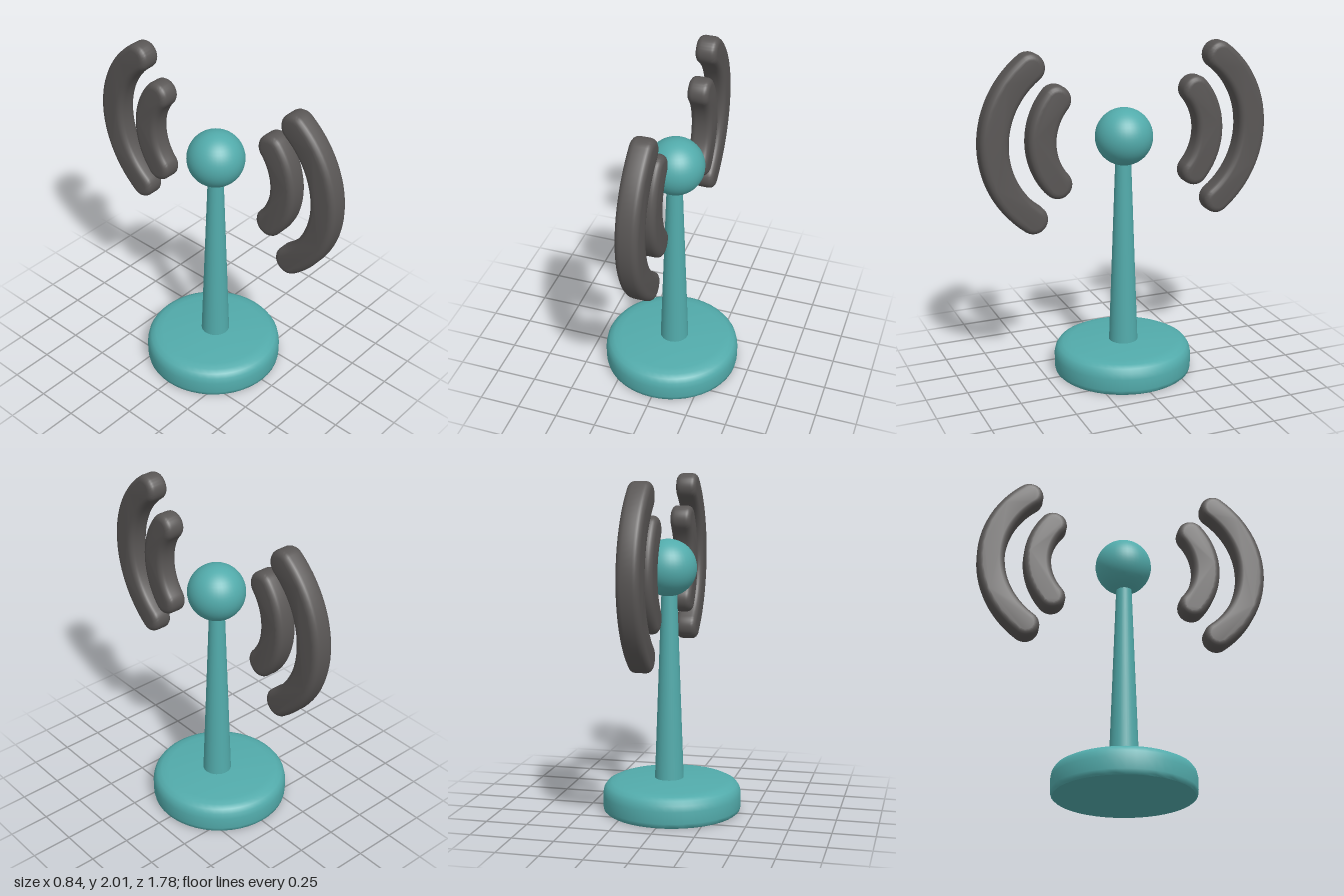
import * as THREE from 'three';
import { mergeVertices, toCreasedNormals } from 'three/addons/utils/BufferGeometryUtils.js';

const teal = new THREE.MeshStandardMaterial({ name: 'teal', color: 0x52abab });
const grey = new THREE.MeshStandardMaterial({ name: 'darkGrey', color: 0x595655 });

function addMesh(group, name, geometry, material, x, y, z) {
  const mesh = new THREE.Mesh(geometry, material);
  mesh.name = name;
  mesh.position.set(x, y, z);
  group.add(mesh);
  return mesh;
}

// Curved bar with round ends and softened edges, bulging towards +x before it is turned
function waveGeometry(radius, angle) {
  const width = 0.13, bevel = 0.035, r = 0.084 - bevel;
  const ex = radius * Math.cos(angle), ey = radius * Math.sin(angle);
  const shape = new THREE.Shape();
  shape.absarc(0, 0, radius + r, -angle, angle, false);
  shape.absarc(ex, ey, r, angle, angle + Math.PI, false);
  shape.absarc(0, 0, radius - r, angle, -angle, true);
  shape.absarc(ex, -ey, r, Math.PI - angle, 2 * Math.PI - angle, false);
  const depth = width - 2 * bevel;
  const geo = new THREE.ExtrudeGeometry(shape, {
    depth, curveSegments: 14, bevelEnabled: true,
    bevelSize: bevel, bevelThickness: bevel, bevelSegments: 4,
  });
  geo.translate(0, 0, -depth / 2);
  geo.deleteAttribute('uv');
  geo.deleteAttribute('normal');
  return toCreasedNormals(mergeVertices(geo, 1e-4), 0.7);
}

export function createModel() {
  const group = new THREE.Group();

  // Round foot with a soft upper rim
  const profile = [
    [0, 0], [0.405, 0], [0.414, 0.008], [0.418, 0.03], [0.418, 0.1], [0.411, 0.135],
    [0.394, 0.16], [0.365, 0.175], [0.32, 0.182], [0.1, 0.194], [0, 0.195],
  ].map(([x, y]) => new THREE.Vector2(x, y));
  const foot = toCreasedNormals(new THREE.LatheGeometry(profile, 48), 0.7);
  addMesh(group, 'base', foot, teal, 0, 0, 0.012);

  // Tapered mast and ball
  addMesh(group, 'mast', new THREE.CylinderGeometry(0.045, 0.088, 1.2, 32), teal, 0.017, 0.77, 0.013);
  addMesh(group, 'ball', new THREE.SphereGeometry(0.17, 40, 24), teal, 0.022, 1.47, 0.01);

  // Signal waves, an inner and an outer one on each side
  const waves = [
    { name: 'innerWave', radius: 0.378, angle: 0.71, centre: 0.145 },
    { name: 'outerWave', radius: 0.547, angle: 0.934, centre: 0.257 },
  ];
  for (const { name, radius, angle, centre } of waves) {
    const geo = waveGeometry(radius, angle);
    for (const side of [1, -1]) {
      const z = side * centre + 0.003;
      const mesh = addMesh(group, (side > 0 ? 'front ' : 'back ') + name, geo, grey, 0.033, 1.477 + side * 0.005, z);
      mesh.rotation.y = -side * Math.PI / 2;
    }
  }
  return group;
}
